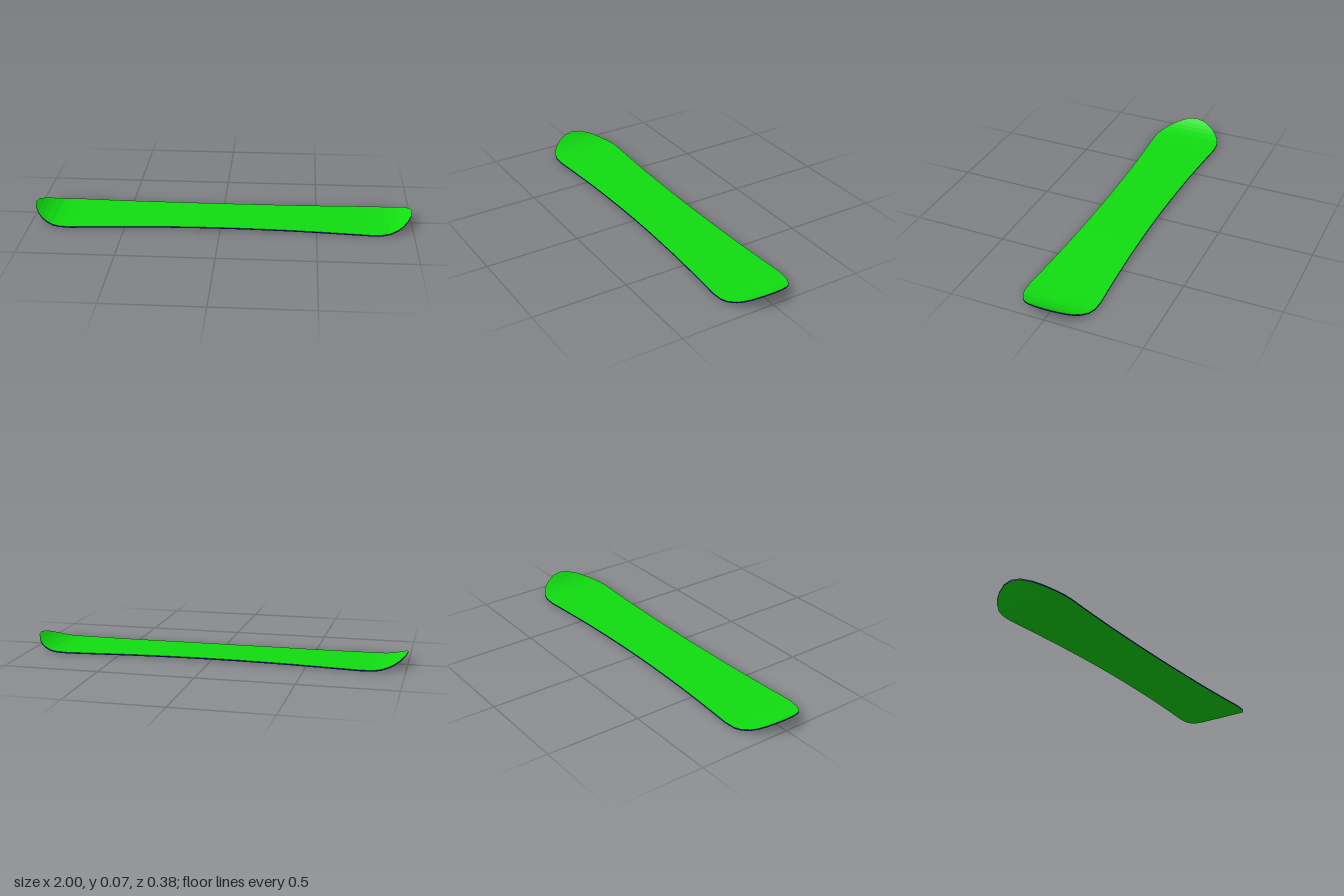
import * as THREE from 'three';

// Half of the board: [x, half width, underside height]
const HALF = [
  [0, 0.16, 0.006], [0.14, 0.161, 0.0058], [0.28, 0.164, 0.005], [0.42, 0.168, 0.0038],
  [0.56, 0.175, 0.0022], [0.68, 0.182, 0.0008], [0.78, 0.189, 0], [0.84, 0.186, 0.001],
  [0.88, 0.175, 0.005], [0.92, 0.152, 0.0155], [0.945, 0.13, 0.026],
  [0.968, 0.1, 0.0385], [0.992, 0.05, 0.055], [1, 0, 0.0605],
];
const THICKNESS = 0.0065;

// Quad strips, each given as four corners, anticlockwise from outside
function quadMesh(name, quads, color) {
  const pos = [];
  for (const [a, b, c, d] of quads) pos.push(...a, ...b, ...c, ...a, ...c, ...d);
  const geo = new THREE.BufferGeometry();
  geo.setAttribute('position', new THREE.Float32BufferAttribute(pos, 3));
  geo.computeVertexNormals();
  const mesh = new THREE.Mesh(geo, new THREE.MeshStandardMaterial({ color, flatShading: true }));
  mesh.name = name;
  return mesh;
}

export function createModel() {
  // Mirror the half profile into stations from -x to +x
  const stations = [...HALF.slice(1).reverse().map(([x, w, y]) => [-x, w, y]), ...HALF];
  const at = ([x, w, y], side, lift) => [x, y + lift, side * w];

  const deck = [], base = [], edge = [];
  for (let i = 0; i < stations.length - 1; i++) {
    const s = stations[i], t = stations[i + 1], h = THICKNESS;
    deck.push([at(s, 1, h), at(t, 1, h), at(t, -1, h), at(s, -1, h)]);
    base.push([at(s, -1, 0), at(t, -1, 0), at(t, 1, 0), at(s, 1, 0)]);
    edge.push([at(s, 1, 0), at(t, 1, 0), at(t, 1, h), at(s, 1, h)]);
    edge.push([at(t, -1, 0), at(s, -1, 0), at(s, -1, h), at(t, -1, h)]);
  }

  const board = new THREE.Group();
  board.name = 'snowboard';
  board.add(
    quadMesh('deck', deck, 0x11dd11),
    quadMesh('base', base, 0x11dd11),
    quadMesh('sideEdge', edge, 0x1018a0),
  );
  return board;
}
